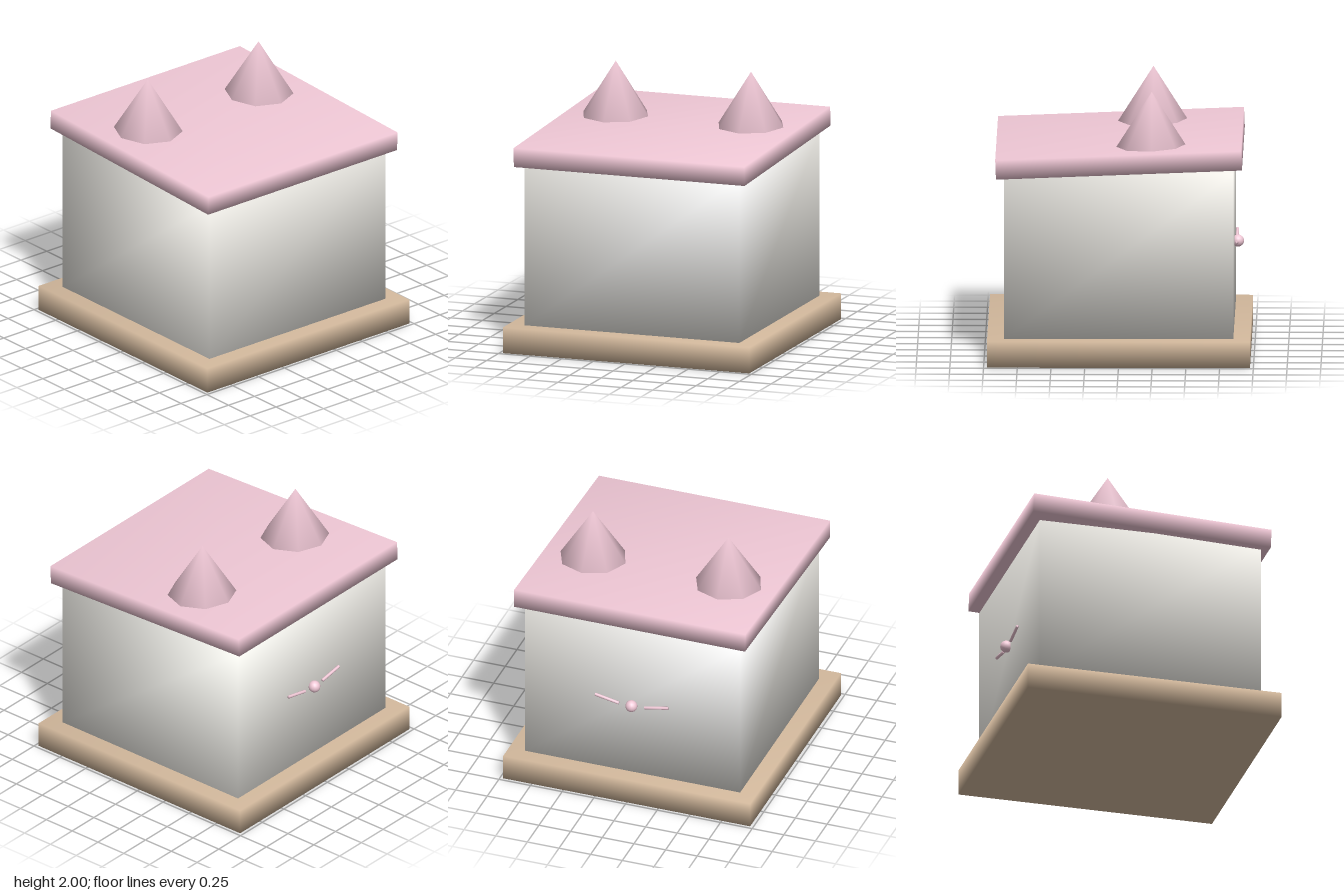
import * as THREE from 'three';
import { mergeVertices } from 'three/addons/utils/BufferGeometryUtils.js';

// Weld a geometry so its shading runs smoothly over every edge
function soften(geometry) {
  geometry.deleteAttribute('normal');
  geometry.deleteAttribute('uv');
  const welded = mergeVertices(geometry, 1e-4);
  welded.computeVertexNormals();
  return welded;
}

export function createModel() {
  const group = new THREE.Group();
  const pink = new THREE.MeshStandardMaterial({ color: 0xf0c8d6 });
  const cream = new THREE.MeshStandardMaterial({ color: 0xeeece6 });
  const tan = new THREE.MeshStandardMaterial({ color: 0xd2b89c });

  const add = (name, geometry, material, x, y, z) => {
    const mesh = new THREE.Mesh(soften(geometry), material);
    mesh.name = name;
    mesh.position.set(x, y, z);
    group.add(mesh);
    return mesh;
  };

  // Plinth and walls
  add('base', new THREE.BoxGeometry(1.95, 0.195, 1.95), tan, 0, 0.0975, 0);
  add('body', new THREE.BoxGeometry(1.7, 1.245, 1.7), cream, 0, 0.8175, 0);

  // Flat roof, rising slightly towards the back
  const roof = add('roof', new THREE.BoxGeometry(1.825, 0.145, 1.825), pink, 0, 1.514, 0);
  roof.rotation.x = 0.04;

  // Nose on the back wall
  add('nose', new THREE.SphereGeometry(0.045, 16, 12), pink, 0, 0.783, -0.875);

  // Mirrored pairs: roof ears and whiskers beside the nose
  for (const [side, s] of [['left', 1], ['right', -1]]) {
    add(side + 'Ear', new THREE.ConeGeometry(0.263, 0.415, 8), pink, s * 0.535, 1.7925, -0.242);
    const whisker = add(side + 'Whisker', new THREE.CylinderGeometry(0.012, 0.012, 0.19, 8), pink, s * 0.195, 0.803, -0.868);
    whisker.rotation.z = s * (0.19 - Math.PI / 2);
  }
  return group;
}
